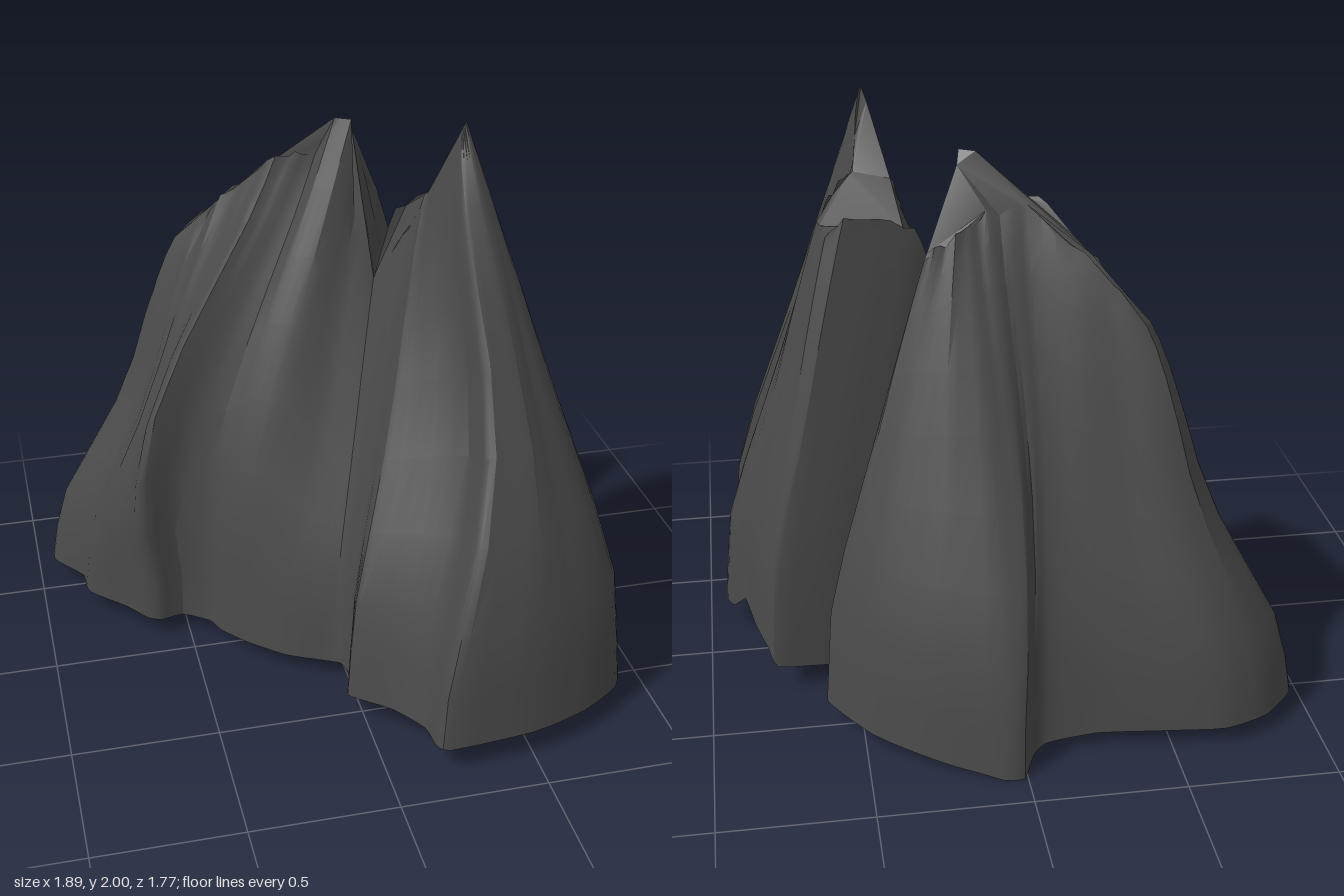
import * as THREE from 'three';
import { toCreasedNormals } from 'three/addons/utils/BufferGeometryUtils.js';

// Footprint of the crag, x and z, going round by the back
const outline = [
  [-.94, -.57], [-.94, -.64], [-.83, -.75], [-.68, -.8], [-.5, -.78], [-.25, -.75], [-.08, -.76],
  [-.03, -.8], [.01, -.88], [.08, -.88], [.3, -.78], [.48, -.64], [.6, -.48], [.61, -.43],
  [.5, -.34], [.42, -.27], [.38, -.2], [.46, -.21], [.6, -.25], [.77, -.27], [.8, -.24],
  [.84, -.1], [.87, .05], [.91, .09], [.94, .23], [.88, .3], [.79, .34], [.77, .45],
  [.9, .56], [.85, .68], [.7, .78], [.5, .85], [.2, .88], [.16, .84], [.15, .75],
  [.07, .63], [-.05, .53], [-.05, .49], [-.02, .4], [-.03, .32], [-.05, .29], [-.2, .21],
  [-.32, .1], [-.4, 0], [-.43, -.07], [-.52, -.13], [-.6, -.11], [-.65, -.13], [-.72, -.22],
  [-.84, -.34], [-.85, -.45],
];

// Crest reached from footprint point i: i, x, y, z
const crest = [
  [0, -.44, 1.41, -.49], [2, -.42, 1.41, -.53], [4, -.33, 1.53, -.45], [5, -.2, 1.64, -.38],
  [6, -.08, 1.74, -.29], [8, .05, 1.72, -.3], [10, .15, 1.67, -.34], [12, .25, 1.6, -.34],
  [14, .19, 1.66, -.26], [15, .13, 1.86, -.22], [16, .17, 1.38, -.06], [17, .25, 1.62, -.09],
  [19, .48, 1.67, -.12], [20, .54, 1.59, -.1], [22, .56, 1.62, 0], [24, .49, 1.71, .08],
  [26, .43, 1.75, .12], [27.5, .42, 1.78, .16], [28.5, .41, 1.92, .18], [29.5, .395, 2, .2],
  [30.5, .385, 2, .21], [32, .375, 1.97, .2], [34, .35, 1.88, .17], [36, .31, 1.73, .08],
  [38, .26, 1.58, .03], [40, .17, 1.38, -.06], [41, .12, 1.58, -.13], [42, .12, 1.9, -.185],
  [43, .07, 1.9, -.215], [44, .01, 1.77, -.24], [46, -.12, 1.76, -.27], [48, -.27, 1.6, -.38],
  [51, -.44, 1.41, -.49],
];
const valleyBack = 16, valleyFront = 40; // footprint points whose walls meet between the peaks

// Height of the lower rim: i, y
const rim = [[0, .08], [5, .06], [7, .03], [8, .005], [9, .005], [10, .04], [12, .07], [18, .08],
  [19, .1], [20, .16], [22, .19], [24, .09], [26, .065], [28, .09], [32, .1], [37, .1], [40, .07],
  [44, .06], [51, .08]];

// Sideways bow of the walls at mid height: i, dx, dz
const bow = [[0, .08, .02], [4, .04, .03], [6, -.02, .02], [8, -.04, .02], [10, 0, 0], [30, 0, 0],
  [32, .13, 0], [34, .11, 0], [36, .03, 0], [38, 0, 0], [41, 0, 0], [43, -.05, .04],
  [45, -.12, .06], [46, -.17, .07], [47, -.14, .08], [48, -.07, .1], [49, .02, .08],
  [51, .08, .02]];

// Wall profile: share of the height, share of the way in to the crest
const profile = [[0, 0], [.1, .03], [.22, .07], [.36, .21], [.5, .38], [.64, .55], [.76, .69],
  [.88, .84], [.95, .93], [1, 1]];

// Linear lookup in a table keyed by its first column
function lookup(table, t) {
  let k = 1;
  while (k < table.length - 1 && table[k][0] < t) k++;
  const a = table[k - 1], b = table[k];
  const f = (t - a[0]) / (b[0] - a[0]);
  return a.slice(1).map((v, i) => v + (b[i + 1] - v) * f);
}

const wobble = (i) => Math.sin(i * 12.9) * Math.cos(i * 4.7);

function cragGeometry() {
  const n = outline.length, sub = 3, cols = n * sub, rows = profile.length;
  const curve = new THREE.CatmullRomCurve3(
    outline.map(([x, z]) => new THREE.Vector3(x, 0, z)), true, 'catmullrom', .3);
  const pos = [], index = [], top = [];

  // Walls: each column climbs from the rim to its place on the crest
  for (let c = 0; c < cols; c++) {
    const i = c / sub;
    const foot = curve.getPoint(i / n);
    const [footY] = lookup(rim, i);
    const [bowX, bowZ] = lookup(bow, i);
    let [tx, ty, tz] = lookup(crest, i);
    if (ty > 1.5 && ty < 1.8) ty += wobble(c) * .015;
    for (const [h, s] of profile) {
      const bell = Math.sin(h * Math.PI) ** 2;
      const f = s + bell * wobble(Math.floor(i)) * .012;
      pos.push(
        foot.x + (tx - foot.x) * f + bowX * bell,
        footY + (ty - footY) * h,
        foot.z + (tz - foot.z) * f + bowZ * bell);
    }
    top.push(new THREE.Vector2(tx, tz));
  }
  for (let c = 0; c < cols; c++) {
    for (let r = 0; r < rows - 1; r++) {
      const a = c * rows + r, b = ((c + 1) % cols) * rows + r;
      index.push(a, a + 1, b, b, a + 1, b + 1);
    }
  }

  // Rough cap on each peak's crest, facing up; the valley point is shared
  const addCap = (from, to) => {
    const ids = [];
    for (let c = from * sub; c < to * sub; c++) ids.push(c % cols);
    const pts = ids.map((c) => top[c]);
    for (const [a, b, c] of THREE.ShapeUtils.triangulateShape(pts, [])) {
      const up = THREE.ShapeUtils.area([pts[a], pts[b], pts[c]]) < 0;
      const tri = up ? [a, b, c] : [a, c, b];
      index.push(...tri.map((v) => ids[v] * rows + rows - 1));
    }
  };
  addCap(valleyBack, valleyFront);
  addCap(valleyFront, valleyBack + n);

  const g = new THREE.BufferGeometry();
  g.setAttribute('position', new THREE.Float32BufferAttribute(pos, 3));
  g.setIndex(index);
  return toCreasedNormals(g, .45);
}

export function createModel() {
  const group = new THREE.Group();
  group.name = 'twinPeakedCrag';
  const rock = new THREE.MeshStandardMaterial({ color: 0x4a4a4a, side: THREE.DoubleSide });
  const mesh = new THREE.Mesh(cragGeometry(), rock);
  mesh.name = 'rockFace';
  group.add(mesh);
  return group;
}
